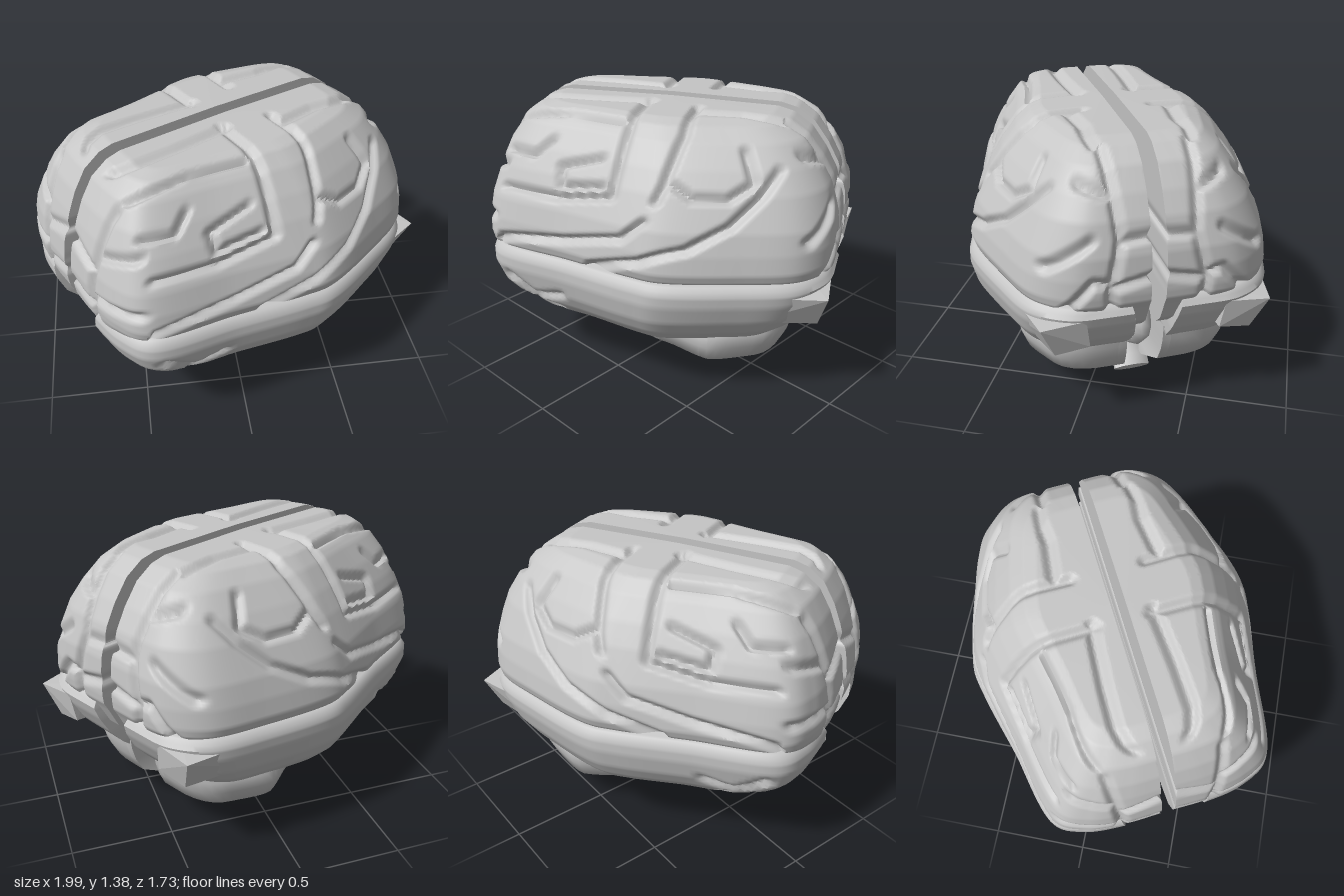
import * as THREE from 'three';
import { toCreasedNormals } from 'three/addons/utils/BufferGeometryUtils.js';
import { ConvexGeometry } from 'three/addons/geometries/ConvexGeometry.js';

// Half plan of a lobe: position along the length (-1..1) and width (0..1)
const plan = new THREE.CatmullRomCurve3([
  [-1, 0], [-1, 0.3], [-0.97, 0.55], [-0.88, 0.735], [-0.4, 0.87], [0, 0.98], [0.15, 1],
  [0.55, 0.88], [0.85, 0.74], [0.98, 0.53], [1, 0.25], [1, 0],
].map(([t, w]) => new THREE.Vector3(t, w, 0)), false, 'centripetal');

// Stacked levels: height, front end, back end, outer edge, inner edge
const cerebrumLevels = [
  [0.505, -0.75, 0.7, 0.45, 0.035], [0.56, -0.86, 0.76, 0.55, 0.035],
  [0.68, -0.91, 0.82, 0.66, 0.035], [0.715, -0.915, 0.84, 0.73, 0.035],
  [0.76, -0.92, 0.845, 0.745, 0.035], [0.85, -0.92, 0.845, 0.73, 0.035],
  [0.95, -0.905, 0.835, 0.7, 0.035], [1.1, -0.86, 0.79, 0.625, 0.035],
  [1.2, -0.82, 0.735, 0.56, 0.035], [1.3, -0.76, 0.66, 0.48, 0.035],
  [1.36, -0.68, 0.57, 0.41, 0.035], [1.38, -0.61, 0.49, 0.35, 0.035],
  [1.388, -0.05, -0.048, 0.037, 0.035],
];
const temporalLevels = [
  [0.342, -0.05, -0.048, 0.402, 0.4], [0.35, -0.69, 0.62, 0.62, 0.22],
  [0.42, -0.8, 0.7, 0.69, 0.2], [0.5, -0.87, 0.77, 0.735, 0.2],
  [0.6, -0.91, 0.825, 0.76, 0.21], [0.66, -0.91, 0.845, 0.76, 0.22],
  [0.7, -0.885, 0.82, 0.735, 0.23], [0.712, -0.84, 0.79, 0.69, 0.25],
];
const cerebellumLevels = [
  [0.11, 0.25, 0.252, 0.1, 0.098], [0.13, 0.04, 0.44, 0.35, 0.04],
  [0.2, -0.12, 0.59, 0.52, 0.025], [0.28, -0.15, 0.63, 0.55, 0.02],
  [0.35, -0.16, 0.65, 0.56, 0.02], [0.44, -0.1, 0.66, 0.5, 0.02],
];

// Furrows on the flank and top: length, unrolled height
const flankFurrows = [
  [[-0.13, 1.84], [-0.13, 1.55], [-0.16, 1.13]],
  [[0.13, 1.8], [0.14, 1.55], [0.09, 1.22], [0.06, 1.12]],
  [[-0.7, 1.8], [-0.4, 1.81], [-0.11, 1.83]],
  [[-0.72, 1.62], [-0.45, 1.64], [-0.18, 1.6]],
  [[-0.75, 1.16], [-0.45, 1.11], [-0.16, 1.13]],
  [[-0.22, 1.19], [-0.44, 1.18], [-0.45, 1.3], [-0.24, 1.36]],
  [[-0.8, 0.86], [-0.4, 0.87], [-0.09, 0.9], [0.01, 1]],
  [[-0.26, 0.74], [0, 0.78], [0.22, 0.88], [0.4, 1.05], [0.52, 1.25], [0.58, 1.42]],
  [[0.1, 1.25], [0.22, 1.17], [0.38, 1.2], [0.48, 1.32], [0.42, 1.5]],
  [[0.14, 1.74], [0.35, 1.76], [0.55, 1.74]],
  [[-0.74, 1.4], [-0.6, 1.36], [-0.52, 1.46]],
];
// Furrows on the two ends: sideways distance, height
const backFurrows = [
  [[0.2, 0.5], [0.22, 0.8], [0.17, 1.02], [0.2, 1.35]],
  [[0.03, 1.03], [0.17, 1.02]], [[0.03, 0.84], [0.21, 0.8]],
  [[0.21, 0.82], [0.3, 0.84], [0.42, 0.7]], [[0.3, 1.03], [0.5, 0.9]],
  [[0.19, 1.2], [0.32, 1.24]],
];
const frontFurrows = [
  [[0.25, 0.55], [0.23, 0.85], [0.27, 1.25]], [[0.04, 1.02], [0.24, 0.96]],
  [[0.25, 0.82], [0.52, 0.85]], [[0.26, 1.05], [0.44, 1.1]], [[0.05, 0.78], [0.23, 0.75]],
];
const temporalFurrows = [[[-0.75, 0.55], [-0.6, 0.45], [-0.45, 0.5]], [[-0.75, 0.42], [-0.5, 0.38]]];

function nearest(x, y, lines) {
  let best = 9;
  for (const line of lines) {
    for (let i = 1; i < line.length; i++) {
      const [ax, ay] = line[i - 1], dx = line[i][0] - ax, dy = line[i][1] - ay;
      const k = THREE.MathUtils.clamp(((x - ax) * dx + (y - ay) * dy) / (dx * dx + dy * dy), 0, 1);
      best = Math.min(best, Math.hypot(x - ax - k * dx, y - ay - k * dy));
    }
  }
  return best;
}

// Press the furrows into the lobes
function carveCerebrum(p) {
  let d = 9;
  if (p.x > -0.8 && p.x < 0.62) d = nearest(p.x, p.y + 0.8 * (0.7 - p.z), flankFurrows);
  if (p.x > 0.55) d = Math.min(d, nearest(p.z, p.y, backFurrows));
  if (p.x < -0.74) d = Math.min(d, nearest(p.z, p.y, frontFurrows));
  press(p, d, 0.8);
}
// The temporal lobes close in on each other towards the back
function carveTemporal(p) {
  if (p.z > 0.4) press(p, nearest(p.x, p.y, temporalFurrows), 0.55);
  else if (p.z < 0.3) p.z -= 0.11 * THREE.MathUtils.smoothstep(p.x, -0.1, 0.45);
}
// The cerebellum halves part towards the back
function carveCerebellum(p) {
  if (p.z < 0.1) p.z += 0.07 * THREE.MathUtils.smoothstep(p.x, 0.4, 0.65);
}
function press(p, d, midY) {
  const k = 1 - THREE.MathUtils.smoothstep(d, 0, 0.04);
  if (k <= 0) return;
  const inward = new THREE.Vector3(p.x * 0.7, midY, 0.25).sub(p).normalize();
  p.addScaledVector(inward, 0.03 * k);
}

// Join closed cross-sections into a surface; side -1 mirrors it
function skin(rings, side = 1) {
  const n = rings[0].length, pos = [], index = [];
  for (const ring of rings) for (const p of ring) pos.push(p.x, p.y, p.z * side);
  for (let i = 0; i + 1 < rings.length; i++) {
    for (let j = 0; j < n; j++) {
      const a = i * n + j, b = i * n + (j + 1) % n, c = b + n, d = a + n;
      if (side > 0) index.push(a, b, c, a, c, d);
      else index.push(a, c, b, a, d, c);
    }
  }
  const g = new THREE.BufferGeometry();
  g.setAttribute('position', new THREE.Float32BufferAttribute(pos, 3));
  g.setIndex(index);
  return toCreasedNormals(g, 0.85);
}

// Fill in rings between the levels
function lobe(levels, side, samples, step, carve) {
  const outline = plan.getSpacedPoints(samples), rings = [];
  levels.forEach((level, i) => {
    const next = levels[i + 1] || level;
    const gap = Math.max(...level.map((v, k) => Math.abs(next[k] - v)));
    const count = next === level ? 1 : Math.max(1, Math.ceil(gap / step));
    for (let s = 0; s < count; s++) {
      const [y, a0, a1, out, inn] = level.map((v, k) => v + (next[k] - v) * s / count);
      rings.push(outline.map(({ x, y: w }) => {
        const p = new THREE.Vector3((a0 + a1) / 2 + x * (a1 - a0) / 2, y, Math.max(inn, w * out));
        carve(p);
        return p;
      }));
    }
  });
  return skin(rings, side);
}

// Elliptical stem that leans backwards as it descends
function stemGeometry() {
  const path = new THREE.CatmullRomCurve3([[0.24, 0.4], [0.26, 0.27], [0.32, 0.15], [0.43, 0.05]]
    .map(([x, y]) => new THREE.Vector3(x, y, 0)));
  const rings = [];
  const addRing = (t, r) => {
    const c = path.getPoint(t), d = path.getTangent(t), ring = [];
    for (let j = 0; j < 10; j++) {
      const q = j / 10 * Math.PI * 2, e = Math.cos(q) * r * 0.055;
      ring.push(new THREE.Vector3(c.x - d.y * e, c.y + d.x * e, Math.sin(q) * r * 0.095));
    }
    rings.push(ring);
  };
  for (let i = 0; i <= 8; i++) addRing(i / 8, 1.5 - 0.5 * Math.min(1, i / 6));
  addRing(1, 0.01);
  return skin(rings);
}

export function createModel() {
  const model = new THREE.Group();
  model.name = 'brain';
  const grey = new THREE.MeshStandardMaterial({ color: 0xc6c6c6, side: THREE.DoubleSide });
  grey.name = 'plain grey';
  const body = new THREE.Group();
  body.name = 'brainBody';
  body.rotation.y = THREE.MathUtils.degToRad(27);
  model.add(body);
  const add = (name, geometry) => {
    const mesh = new THREE.Mesh(geometry, grey);
    mesh.name = name;
    body.add(mesh);
  };

  for (const side of [1, -1]) {
    const tag = side > 0 ? 'Left' : 'Right';
    add('cerebrum' + tag, lobe(cerebrumLevels, side, 190, 0.013, carveCerebrum));
    add('temporalLobe' + tag, lobe(temporalLevels, side, 110, 0.02, carveTemporal));
    add('cerebellum' + tag, lobe(cerebellumLevels, side, 30, 0.12, carveCerebellum));
    // Chunky block flaring out at the rear corner
    const block = [
      [0.45, 0.64, 0.63], [0.7, 0.66, 0.33], [0.835, 0.65, 0.33], [0.848, 0.64, 0.54],
      [0.7, 0.49, 0.31], [0.815, 0.5, 0.31], [0.8, 0.47, 0.47], [0.5, 0.49, 0.58],
    ].map(([x, y, z]) => new THREE.Vector3(x, y, z * side));
    add('rearBlock' + tag, new ConvexGeometry(block));
  }

  // Small body between the cerebellum halves
  const vermis = new THREE.SphereGeometry(1, 10, 8);
  vermis.scale(0.22, 0.15, 0.1).translate(0.38, 0.37, 0);
  add('vermis', vermis);
  add('brainStem', stemGeometry());
  return model;
}
